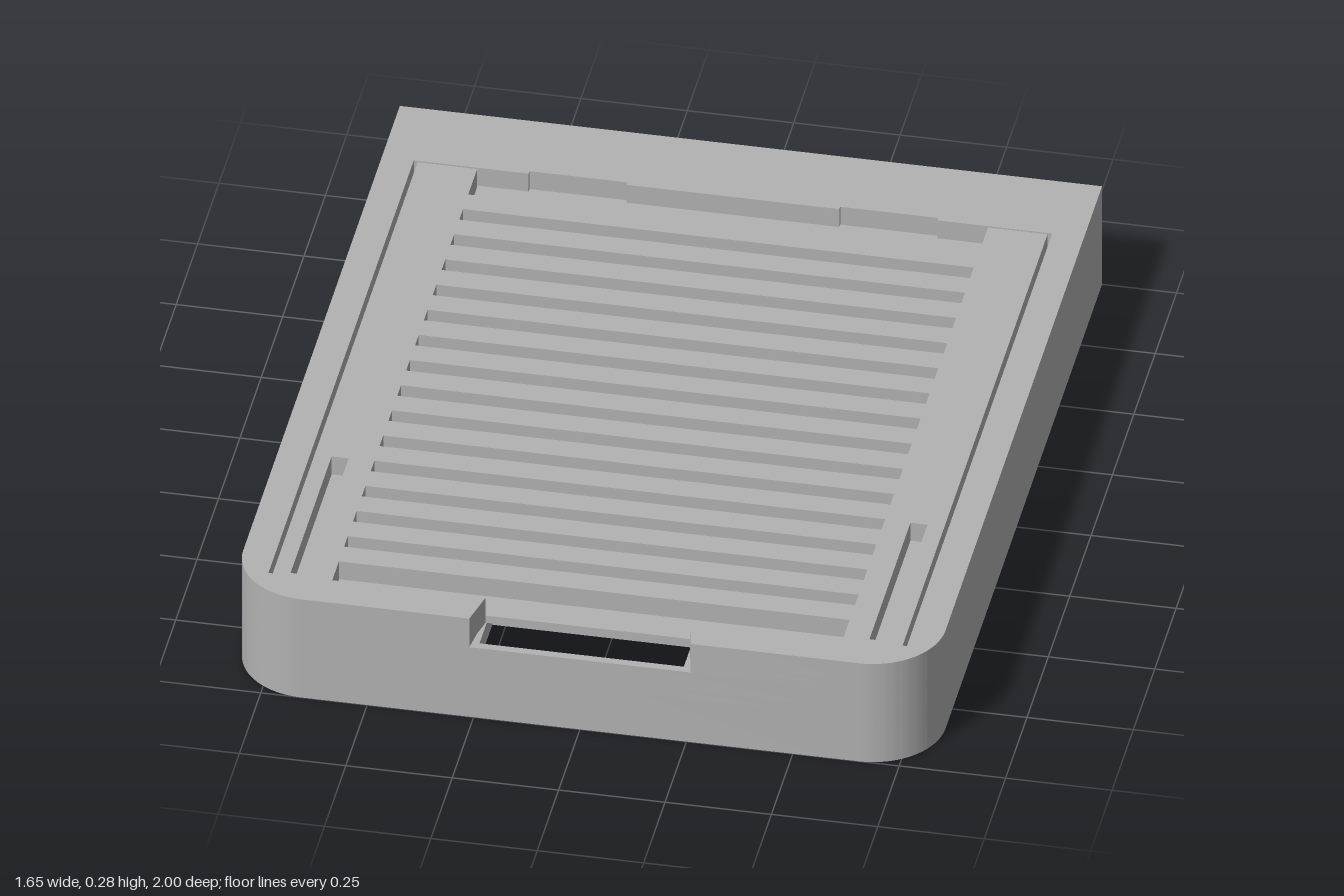
import * as THREE from 'three';
import { toCreasedNormals } from 'three/addons/utils/BufferGeometryUtils.js';

const W = 0.825, R = 0.17;               // half width, front corner radius
const TOP = 0.275, FLOOR = 0.225, CEILING = 0.145, LIP = 0.195;
const LATCH = 0.24;                      // half width of the latch notch

export function createModel() {
  const model = new THREE.Group();
  model.name = 'ventedCover';
  const grey = new THREE.MeshStandardMaterial({ color: 0xb2b2b2 });
  grey.name = 'plain grey';

  // Plan points are given as [x, z]; the shape plane uses y = -z
  const toPoints = (pts) => pts.map(([x, z]) => new THREE.Vector2(x, -z));
  const rect = (x0, x1, z0, z1) => toPoints([[x0, z0], [x0, z1], [x1, z1], [x1, z0]]);

  // Outer plan: square back corners, rounded front corners, optional front notch
  function outline(notch = [], holes = []) {
    const s = new THREE.Shape();
    s.moveTo(-W, 1);
    s.lineTo(-W, -1 + R);
    s.absarc(-W + R, -1 + R, R, Math.PI, 1.5 * Math.PI, false);
    toPoints(notch).forEach((p) => s.lineTo(p.x, p.y));
    s.absarc(W - R, -1 + R, R, 1.5 * Math.PI, 2 * Math.PI, false);
    s.lineTo(W, 1);
    s.closePath();
    s.holes = holes;
    return s;
  }

  // Raise a plan shape from y0 to y1
  function slab(name, shape, y0, y1) {
    let g = new THREE.ExtrudeGeometry(shape, { depth: y1 - y0, bevelEnabled: false, curveSegments: 24 });
    g.rotateX(-Math.PI / 2);
    g.translate(0, y0, 0);
    g = toCreasedNormals(g, 0.5);
    const m = new THREE.Mesh(g, grey);
    m.name = name;
    model.add(m);
  }

  function box(name, x0, x1, y0, y1, z0, z1) {
    const m = new THREE.Mesh(new THREE.BoxGeometry(x1 - x0, y1 - y0, z1 - z0), grey);
    m.position.set((x0 + x1) / 2, (y0 + y1) / 2, (z0 + z1) / 2);
    m.name = name;
    model.add(m);
  }

  const roundHole = () => new THREE.Path().absarc(0, -0.1, 0.52, 0, 2 * Math.PI, true);
  const notchTo = (z) => [[-0.26, 1], [-LATCH, z], [LATCH, z], [0.26, 1]];

  // Skirt around the open underside
  slab('skirt', outline([], [new THREE.Path(rect(-0.745, 0.745, -0.73, 0.91))]), 0, 0.12);
  slab('skirtWithLatchSlot', outline([], [new THREE.Path(toPoints([
    [-0.745, -0.73], [-0.745, 0.91], [-LATCH, 0.91], [-LATCH, 0.98],
    [LATCH, 0.98], [LATCH, 0.91], [0.745, 0.91], [0.745, -0.73],
  ]))]), 0.12, CEILING);

  // Floor plate with the round opening and the latch slot
  slab('floorLower', outline([], [roundHole(), new THREE.Path(rect(-LATCH, LATCH, 0.83, 0.98))]), CEILING, LIP);
  slab('floorMiddle', outline(notchTo(0.83), [roundHole()]), LIP, 0.205);
  slab('floorUpper', outline(notchTo(0.91), [roundHole()]), 0.205, FLOOR);

  // Raised rim, open at the latch notch
  slab('rim', outline([
    [-0.26, 1], [-LATCH, 0.91], [-0.75, 0.91], [-0.75, -0.8],
    [0.75, -0.8], [0.75, 0.91], [LATCH, 0.91], [0.26, 1],
  ]), FLOOR, TOP);

  // Back wall pads that leave two shallow pockets
  box('backPad', -0.25, 0.25, FLOOR, TOP, -0.8, -0.79);

  // Grille: side strips with a short groove, then evenly spaced slats
  for (const side of [-1, 1]) {
    const span = (a, b) => [Math.min(side * a, side * b), Math.max(side * a, side * b)];
    const strip = new THREE.Shape(rect(...span(0.6, 0.74), -0.785, 0.91));
    strip.holes = [new THREE.Path(rect(...span(0.66, 0.7), 0.42, 0.9))];
    slab('grilleSide', strip, FLOOR, TOP);
    box('backPad', ...span(0.48, 0.75), FLOOR, TOP, -0.8, -0.79);
  }
  const pitch = 0.1037, halfSlot = 0.0215;
  for (let i = 0; i < 15; i++) {
    const z = -0.7017 + pitch * i;
    box('slat', -0.6, 0.6, FLOOR, TOP, z + halfSlot, z + pitch - halfSlot);
  }
  return model;
}
